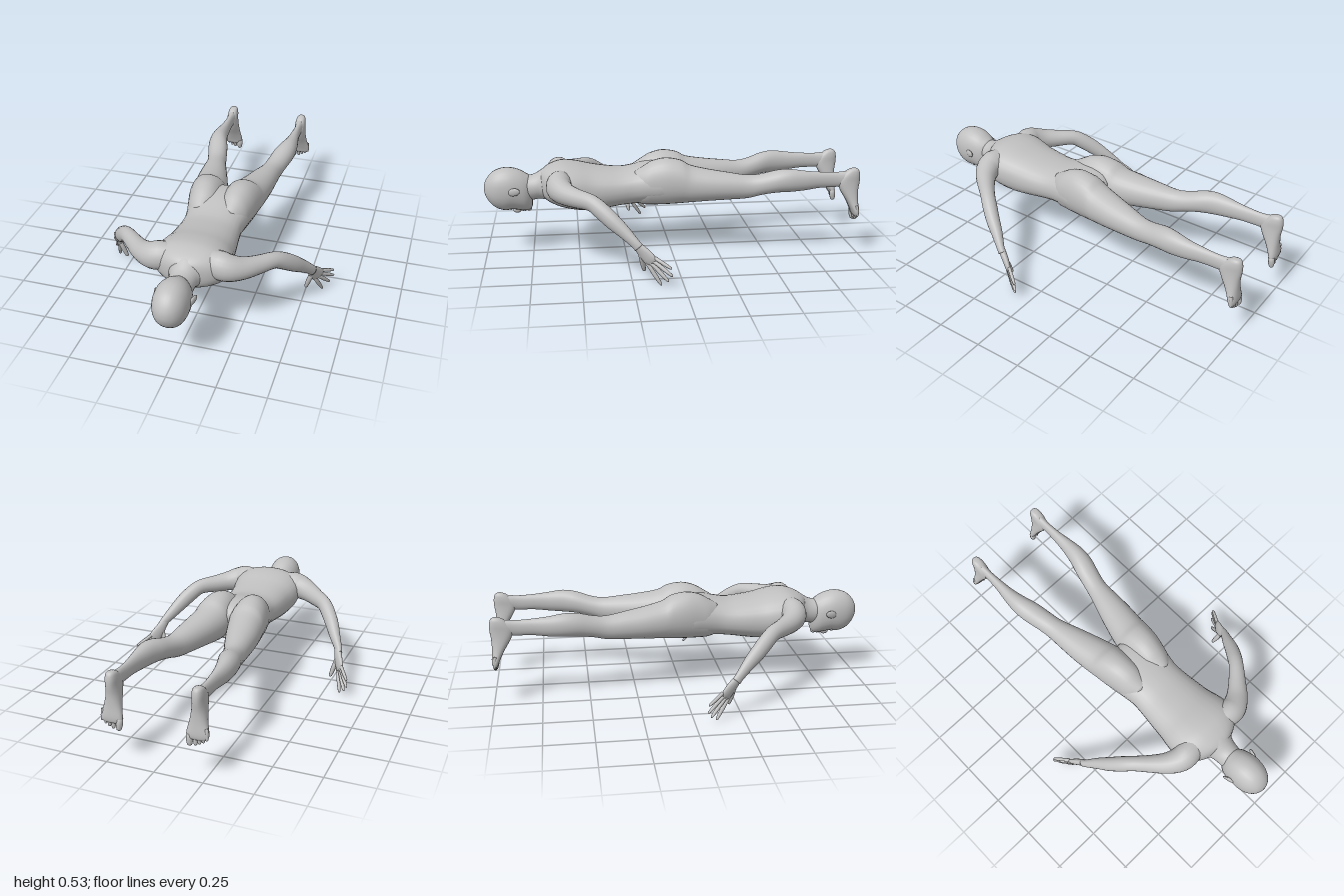
import * as THREE from 'three';

const V = (x, y, z) => new THREE.Vector3(x, y, z);
const skin = new THREE.MeshStandardMaterial({ color: 0xc0c0c0 });
skin.name = 'plain grey';

// Smoothly resamples rows of numbers (Catmull-Rom on every column)
function refine(rows, steps = 3) {
  const out = [], last = rows.length - 1;
  for (let i = 0; i < last; i++) {
    const [a, b, c, d] = [i - 1, i, i + 1, i + 2].map(k => rows[Math.min(last, Math.max(0, k))]);
    for (let s = 0; s < steps; s++) {
      const t = s / steps;
      out.push(b.map((p, k) => p + 0.5 * t * (c[k] - a[k]
        + t * (2 * a[k] - 5 * p + 4 * c[k] - d[k] + t * (3 * (p - c[k]) + d[k] - a[k])))));
    }
  }
  out.push(rows[last]);
  return out;
}

// Skins superelliptic rings {c, u, v}; u x v points along the direction of travel
function loft(name, rings, power = 2, n = 28) {
  const pos = [], idx = [], e = 2 / power;
  const bend = t => Math.sign(t) * Math.abs(t) ** e;
  for (const { c, u, v } of rings) {
    for (let j = 0; j < n; j++) {
      const a = j / n * Math.PI * 2;
      const p = c.clone().addScaledVector(u, bend(Math.cos(a))).addScaledVector(v, bend(Math.sin(a)));
      pos.push(p.x, p.y, p.z);
    }
  }
  const m = rings.length;
  for (let i = 0; i < m - 1; i++) {
    for (let j = 0; j < n; j++) {
      const a = i * n + j, b = i * n + (j + 1) % n;
      idx.push(a, b, a + n, b, b + n, a + n);
    }
  }
  const first = rings[0].c, end = rings[m - 1].c;
  pos.push(first.x, first.y, first.z, end.x, end.y, end.z);
  for (let j = 0; j < n; j++) {
    const k = (j + 1) % n, o = (m - 1) * n;
    idx.push(m * n, k, j, m * n + 1, o + j, o + k);
  }
  const g = new THREE.BufferGeometry();
  g.setAttribute('position', new THREE.Float32BufferAttribute(pos, 3));
  g.setIndex(idx);
  g.computeVertexNormals();
  const mesh = new THREE.Mesh(g, skin);
  mesh.name = name;
  return mesh;
}

// Body part along -z; rows are [z, xMin, xMax, yTop, yBottom]
const alongZ = (name, rows, s, power) => loft(name, refine(rows).map(([z, a, b, t, l]) => ({
  c: V(s * (a + b) / 2, (t + l) / 2, z), u: V((b - a) / 2, 0, 0), v: V(0, (l - t) / 2, 0),
})), power);

// Symmetric part along -z; rows are [z, halfWidth, yTop, yBottom]
const trunk = (name, rows, power) => alongZ(name, rows.map(([z, w, t, b]) => [z, -w, w, t, b]), 1, power);

// Limb along a path; rows are [x, y, z, wide, thick], wide follows the hint direction
function limb(name, rows, s, hint, n = 20, steps = 3) {
  const r = refine(rows, steps), pts = r.map(q => V(s * q[0], q[1], q[2]));
  const h = V(s * hint.x, hint.y, hint.z);
  return loft(name, r.map((q, i) => {
    const t = pts[Math.min(i + 1, r.length - 1)].clone().sub(pts[Math.max(i - 1, 0)]).normalize();
    const u = h.clone().addScaledVector(t, -h.dot(t)).normalize();
    const v = t.clone().cross(u);
    return { c: pts[i], u: u.multiplyScalar(q[3]), v: v.multiplyScalar(q[4]) };
  }), 2, n);
}

function ball(name, p, r) {
  const m = new THREE.Mesh(new THREE.SphereGeometry(1, 18, 12), skin);
  m.name = name;
  m.position.copy(p);
  m.scale.copy(r);
  return m;
}

// Tapered finger or toe with a rounded end
function digit(name, from, to, r, s, hint) {
  const rows = [[0, 1], [0.35, 0.95], [0.5, 1], [0.75, 0.85], [0.92, 0.68], [0.98, 0.4], [1, 0.08]].map(([t, k]) => {
    const p = from.clone().lerp(to, t);
    return [p.x, p.y, p.z, r * k, r * k];
  });
  return limb(name, rows, s, hint, 10, 1);
}

export function createModel() {
  const body = new THREE.Group();
  body.name = 'proneFigure';

  // Head, face down with the crown toward the front
  const head = new THREE.Group();
  head.name = 'head';
  head.add(trunk('skull', [
    [0.999, 0.008, 0.375, 0.355], [0.995, 0.025, 0.395, 0.335], [0.982, 0.048, 0.422, 0.306],
    [0.96, 0.067, 0.448, 0.277], [0.93, 0.081, 0.467, 0.255], [0.89, 0.088, 0.477, 0.244],
    [0.85, 0.088, 0.475, 0.248], [0.81, 0.082, 0.463, 0.242], [0.78, 0.073, 0.446, 0.238],
    [0.757, 0.056, 0.43, 0.243], [0.745, 0.035, 0.4, 0.262]], 2.15));
  head.add(ball('nose', V(0, 0.242, 0.828), V(0.014, 0.018, 0.024)));
  head.add(ball('upperLip', V(0, 0.243, 0.797), V(0.024, 0.01, 0.007)));
  head.add(ball('lowerLip', V(0, 0.242, 0.785), V(0.02, 0.01, 0.007)));
  head.add(ball('chin', V(0, 0.25, 0.764), V(0.026, 0.016, 0.015)));
  for (const s of [1, -1]) {
    head.add(ball('eye', V(s * 0.034, 0.262, 0.86), V(0.014, 0.011, 0.01)));
    const ear = ball('ear', V(s * 0.092, 0.364, 0.838), V(0.009, 0.021, 0.034));
    ear.rotation.set(0.25, s * -0.3, 0);
    head.add(ear);
  }
  body.add(head);

  // Neck and trunk
  body.add(trunk('neck', [
    [0.81, 0.055, 0.44, 0.3], [0.765, 0.063, 0.432, 0.295], [0.73, 0.067, 0.438, 0.298],
    [0.7, 0.074, 0.455, 0.302], [0.66, 0.1, 0.478, 0.295], [0.6, 0.13, 0.485, 0.29]], 2));
  body.add(trunk('torso', [
    [0.695, 0.065, 0.455, 0.33], [0.668, 0.125, 0.475, 0.3], [0.62, 0.18, 0.494, 0.277],
    [0.57, 0.197, 0.502, 0.26], [0.5, 0.192, 0.494, 0.245], [0.43, 0.178, 0.478, 0.24],
    [0.35, 0.169, 0.465, 0.25], [0.27, 0.16, 0.458, 0.262], [0.2, 0.157, 0.468, 0.268],
    [0.12, 0.17, 0.485, 0.272], [0.04, 0.183, 0.49, 0.275], [-0.03, 0.165, 0.475, 0.285],
    [-0.07, 0.08, 0.44, 0.31]], 2.3));

  for (const s of [1, -1]) {
    const side = s > 0 ? 'left' : 'right';

    // Buttock, thigh and calf
    body.add(alongZ(side + 'Leg', [
      [0.2, 0.03, 0.13, 0.455, 0.29], [0.15, 0.01, 0.16, 0.485, 0.275], [0.1, 0.001, 0.173, 0.513, 0.273],
      [0.03, 0, 0.188, 0.528, 0.275], [-0.05, 0.001, 0.198, 0.514, 0.28], [-0.1, 0.008, 0.203, 0.486, 0.285],
      [-0.2, 0.037, 0.213, 0.465, 0.295], [-0.3, 0.07, 0.217, 0.45, 0.303], [-0.4, 0.105, 0.22, 0.437, 0.312],
      [-0.47, 0.122, 0.235, 0.445, 0.332], [-0.55, 0.14, 0.256, 0.468, 0.348], [-0.62, 0.162, 0.262, 0.475, 0.353],
      [-0.7, 0.18, 0.255, 0.465, 0.36], [-0.78, 0.19, 0.243, 0.457, 0.37], [-0.87, 0.196, 0.237, 0.453, 0.372],
      [-0.93, 0.192, 0.242, 0.458, 0.375], [-0.965, 0.2, 0.235, 0.455, 0.39]], s, 2.1));

    // Foot pointing down, rows are [y, xMin, xMax, zSole, zInstep]
    const foot = new THREE.Group();
    foot.name = side + 'Foot';
    foot.add(loft('sole', refine([
      [0.472, 0.205, 0.23, -0.98, -0.955], [0.462, 0.194, 0.241, -0.993, -0.93], [0.435, 0.188, 0.247, -1, -0.9],
      [0.4, 0.187, 0.248, -1, -0.88], [0.355, 0.182, 0.252, -0.994, -0.895], [0.3, 0.174, 0.261, -0.994, -0.928],
      [0.25, 0.164, 0.274, -0.998, -0.953], [0.225, 0.165, 0.272, -0.996, -0.963],
      [0.215, 0.175, 0.26, -0.99, -0.97]]).map(([y, a, b, k, f]) => ({
      c: V(s * (a + b) / 2, y, (k + f) / 2), u: V((b - a) / 2, 0, 0), v: V(0, 0, (f - k) / 2),
    })), 2.3));
    [[0.181, 0.178, 0.017], [0.21, 0.183, 0.0115], [0.23, 0.192, 0.011], [0.249, 0.203, 0.0105], [0.266, 0.216, 0.01]]
      .forEach(([x, tip, r]) => foot.add(
        digit('toe', V(x - 0.003, tip + 0.06, -0.978), V(x, tip, -0.984), r, s, V(1, 0, 0))));
    body.add(foot);

    // Shoulder, upper arm and forearm
    body.add(limb(side + 'Arm', [
      [0.09, 0.42, 0.585, 0.06, 0.06], [0.15, 0.412, 0.598, 0.075, 0.068], [0.2, 0.402, 0.595, 0.07, 0.066],
      [0.26, 0.391, 0.562, 0.057, 0.056], [0.32, 0.385, 0.507, 0.049, 0.046], [0.385, 0.38, 0.44, 0.043, 0.039],
      [0.425, 0.35, 0.393, 0.044, 0.039], [0.465, 0.305, 0.34, 0.042, 0.036], [0.5, 0.258, 0.285, 0.034, 0.029],
      [0.535, 0.21, 0.235, 0.026, 0.02], [0.545, 0.19, 0.217, 0.026, 0.018]], s, V(0, 1, 0)));

    // Hand with spread fingers
    const hand = new THREE.Group();
    hand.name = side + 'Hand';
    const across = V(0.04, 0.04, -0.045);
    hand.add(limb('palm', [
      [0.53, 0.217, 0.242, 0.024, 0.018], [0.54, 0.19, 0.217, 0.028, 0.018], [0.552, 0.16, 0.19, 0.036, 0.017],
      [0.567, 0.13, 0.163, 0.038, 0.014], [0.572, 0.117, 0.153, 0.03, 0.009]], s, across));
    hand.add(digit('thumb', V(0.54, 0.165, 0.21), V(0.507, 0.052, 0.188), 0.0135, s, across));
    [[V(0.553, 0.115, 0.18), V(0.586, 0.003, 0.11), 0.011], [V(0.565, 0.123, 0.165), V(0.618, 0.033, 0.078), 0.011],
      [V(0.574, 0.133, 0.153), V(0.636, 0.066, 0.06), 0.0105], [V(0.581, 0.146, 0.142), V(0.634, 0.104, 0.064), 0.0095]]
      .forEach(([a, b, r]) => hand.add(digit('finger', a, b, r, s, across)));
    body.add(hand);
  }
  return body;
}
